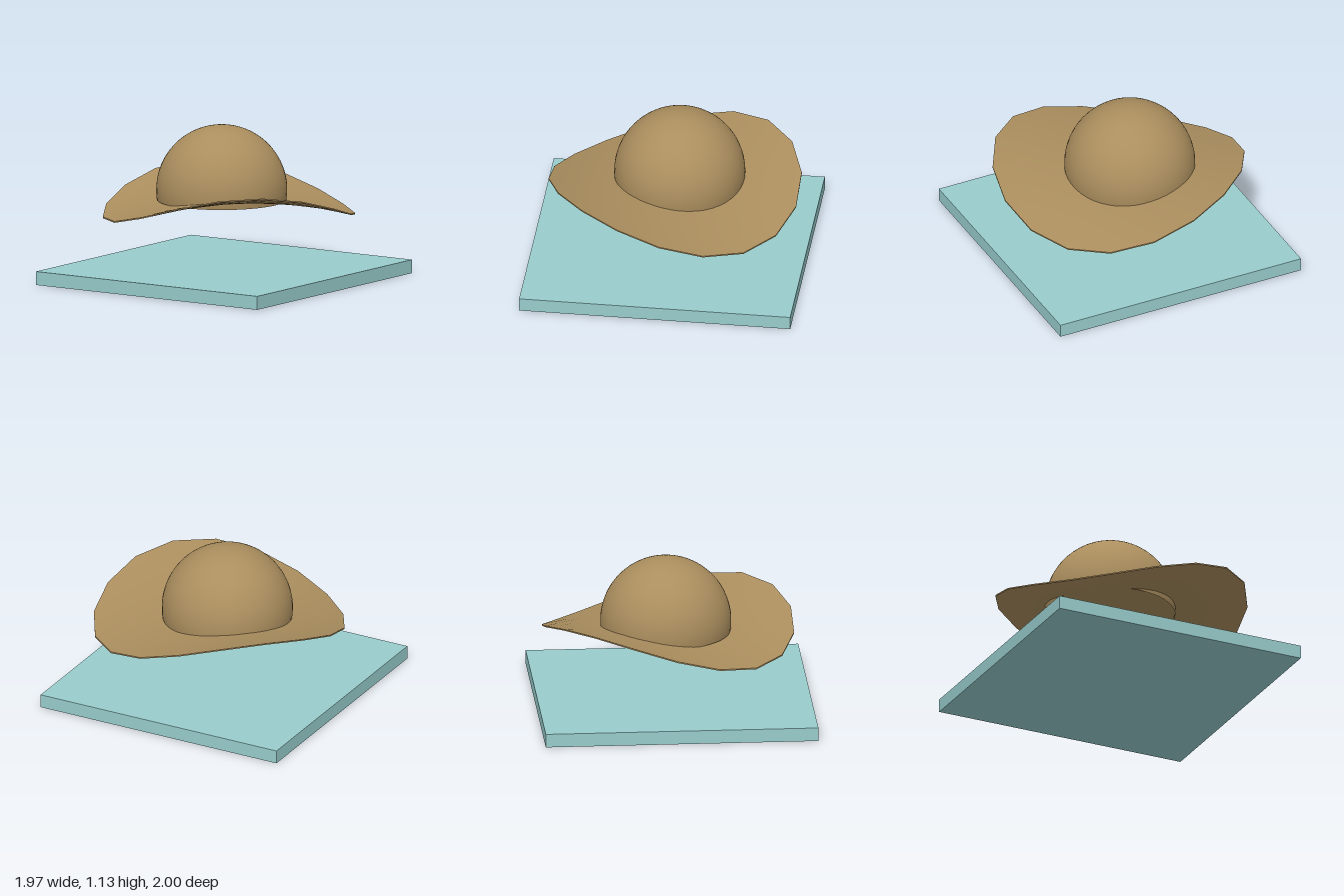
import * as THREE from 'three';
import { toCreasedNormals } from 'three/addons/utils/BufferGeometryUtils.js';

const straw = new THREE.MeshStandardMaterial({ color: 0xab8e5e, side: THREE.DoubleSide });
straw.name = 'straw tan';
const teal = new THREE.MeshStandardMaterial({ color: 0x98cccc });
teal.name = 'pale teal';

function addPart(group, name, geometry, material, x, y, z) {
  const mesh = new THREE.Mesh(geometry, material);
  mesh.name = name;
  mesh.position.set(x, y, z);
  group.add(mesh);
}

// Thin 18-sided disc, bent into a saddle by y += bend * x * z
function saddleBrim(radius, thickness, bend) {
  const rings = 8, h = thickness / 2, profile = [];
  for (let i = 0; i <= rings; i++) profile.push(new THREE.Vector2(radius * i / rings, -h));
  for (let i = rings; i >= 0; i--) profile.push(new THREE.Vector2(radius * i / rings, h));
  const geometry = new THREE.LatheGeometry(profile, 18, Math.PI / 2);
  const p = geometry.attributes.position;
  for (let i = 0; i < p.count; i++) p.setY(i, p.getY(i) + bend * p.getX(i) * p.getZ(i));
  return toCreasedNormals(geometry, 0.6);
}

export function createModel() {
  const group = new THREE.Group();
  group.name = 'hatOverBase';

  // Square base slab
  addPart(group, 'baseSlab', new THREE.BoxGeometry(1.965, 0.1, 2), teal, 0, 0.05, 0);

  // Wavy brim
  addPart(group, 'hatBrim', saddleBrim(0.927, 0.01, 0.317), straw, 0.025, 0.604, -0.027);

  // Crown, running slightly past the equator of its sphere and open below
  const crown = new THREE.SphereGeometry(0.48, 48, 28, 0, Math.PI * 2, 0, Math.PI * 0.548);
  addPart(group, 'hatCrown', crown, straw, -0.055, 0.65, -0.05);

  return group;
}
